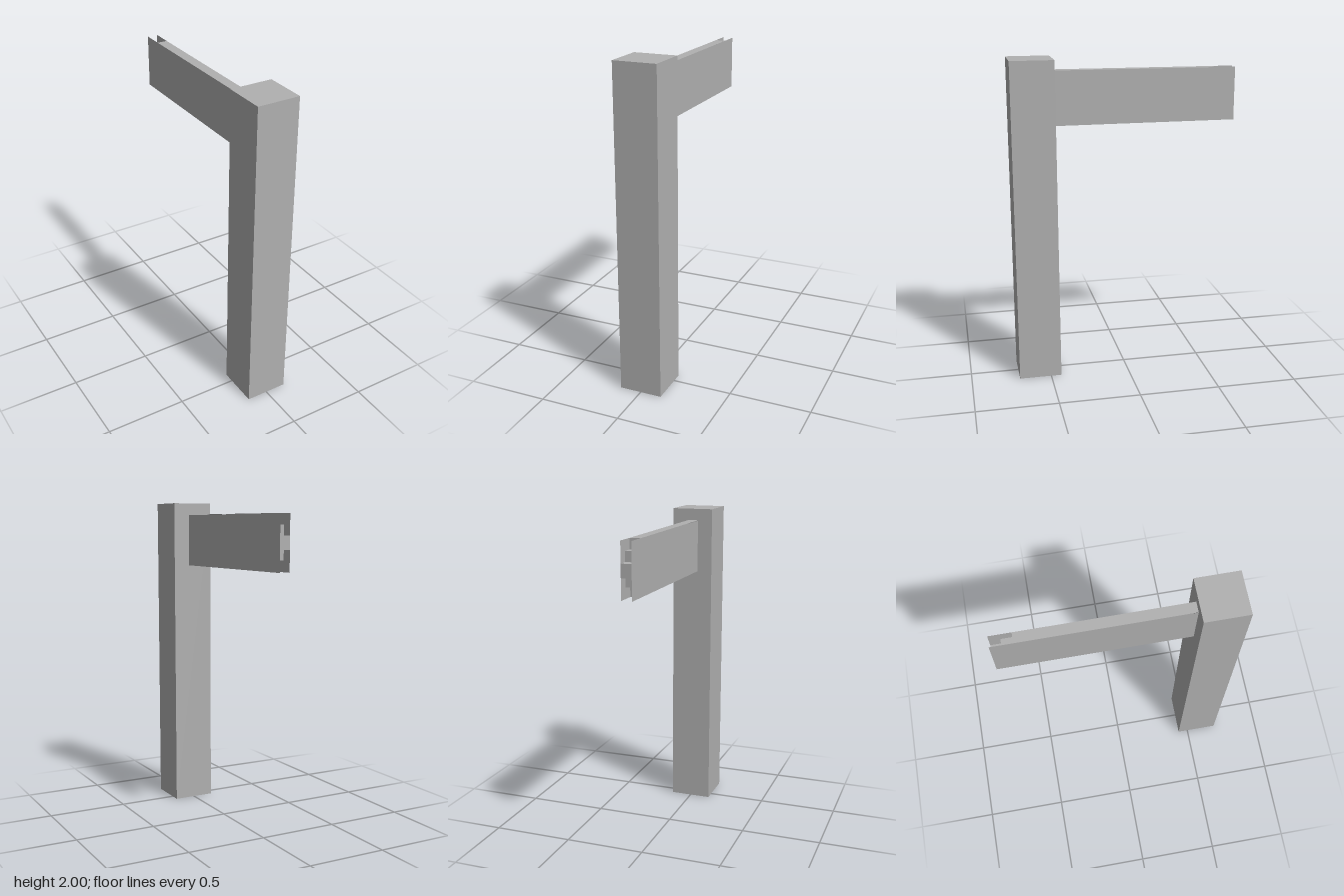
import * as THREE from 'three';

const grey = new THREE.MeshStandardMaterial({ color: 0xb0b0b0, side: THREE.DoubleSide, flatShading: true });
grey.name = 'plain grey';

// Sheet swept across x along a side profile of [z, y] points
function ribbon(points, x0, x1) {
  const positions = [];
  for (let i = 0; i < points.length - 1; i++) {
    const [za, ya] = points[i];
    const [zb, yb] = points[i + 1];
    positions.push(x0, ya, za, x1, ya, za, x1, yb, zb);
    positions.push(x0, ya, za, x1, yb, zb, x0, yb, zb);
  }
  const geometry = new THREE.BufferGeometry();
  geometry.setAttribute('position', new THREE.Float32BufferAttribute(positions, 3));
  geometry.computeVertexNormals();
  return geometry;
}

export function createModel() {
  const model = new THREE.Group();
  model.name = 'fingerpost';
  const add = (name, geometry) => {
    const mesh = new THREE.Mesh(geometry, grey);
    mesh.name = name;
    model.add(mesh);
    return mesh;
  };

  // Hollow square post, open underneath
  const postGeometry = new THREE.BoxGeometry(0.264, 2, 0.264);
  const index = Array.from(postGeometry.index.array);
  index.splice(18, 6);
  postGeometry.setIndex(index);
  postGeometry.clearGroups();
  add('post', postGeometry).position.set(0, 1, 0.567);

  // Two sheet sides of the sign arm
  const left = 0.027, right = -0.037;
  const back = -0.698, root = 0.435;
  const bottom = 1.595, top = 1.923;
  for (const [name, x, turn] of [['leftPanel', left, 1], ['rightPanel', right, -1]]) {
    const panel = add(name, new THREE.PlaneGeometry(root - back, top - bottom));
    panel.rotation.y = turn * Math.PI / 2;
    panel.position.set(x, (top + bottom) / 2, (root + back) / 2);
  }

  // Top strip and stepped pointer end between the panels, open below
  add('steppedEdge', ribbon([
    [root, 1.927], [-0.567, top],
    [-0.567, 1.86], [-0.635, 1.86],
    [-0.635, 1.8], [back, 1.8],
    [back, 1.72], [-0.635, 1.72],
    [-0.635, 1.66], [-0.567, 1.66],
    [-0.567, bottom],
  ], right, left));

  return model;
}
